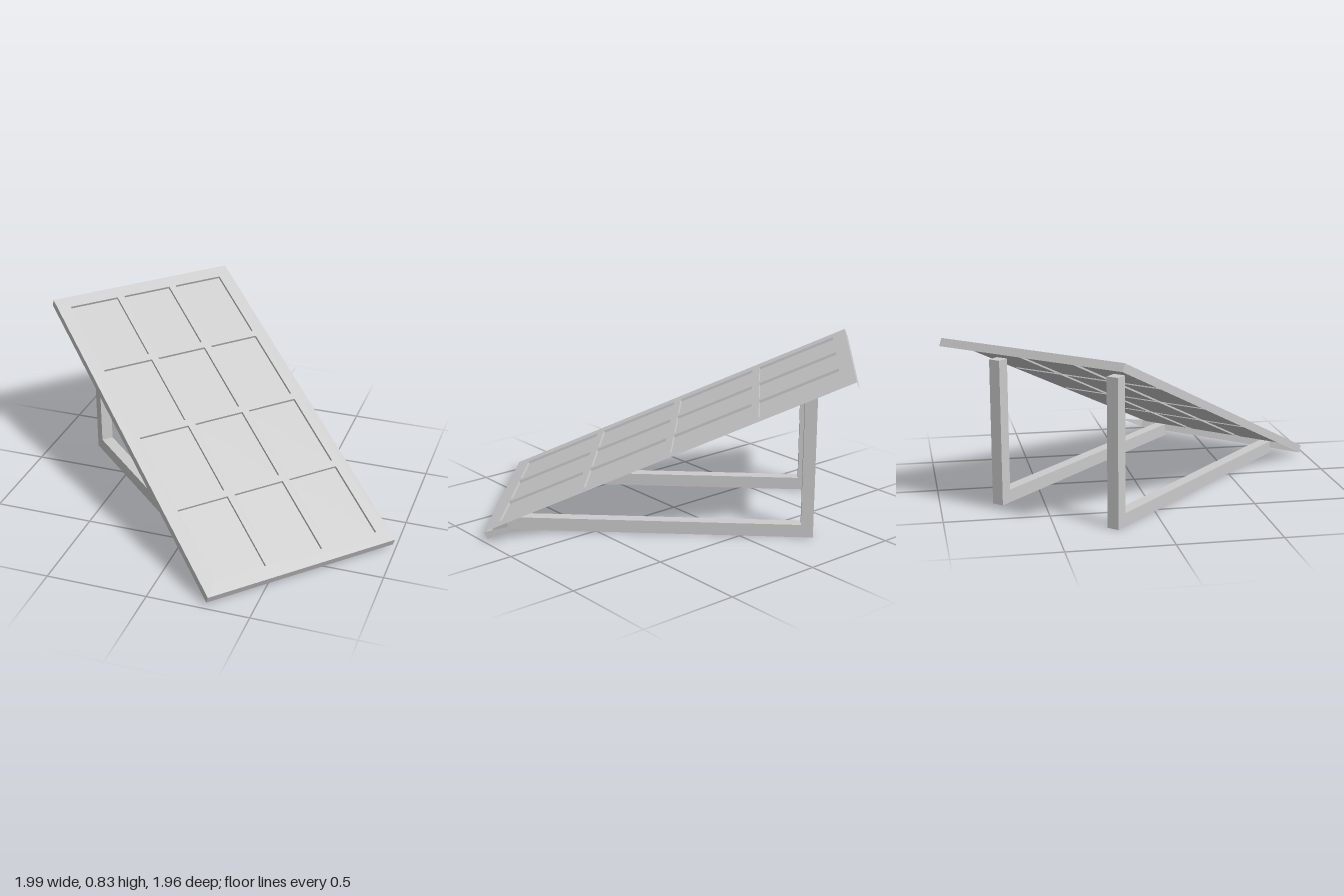
import * as THREE from 'three';

const LENGTH = 1.925, WIDTH = 1.02, LIP = 0.04;   // tilted panel
const BORDER = 0.07, BAR = 0.038, RECESS = 0.013; // frame and cells
const ROWS = 4, COLS = 3;
const SLOPE = Math.atan2(0.783, 1.759);

const shell = new THREE.MeshStandardMaterial({ color: 0xcccccc, side: THREE.DoubleSide });
const solid = new THREE.MeshStandardMaterial({ color: 0xcccccc });

function add(parent, name, geometry, material) {
  const mesh = new THREE.Mesh(geometry, material);
  mesh.name = name;
  parent.add(mesh);
  return mesh;
}

// Flat polygon fanned from its first corner
function polygon(...corners) {
  const points = [];
  for (let i = 1; i < corners.length - 1; i++) points.push(...corners[0], ...corners[i], ...corners[i + 1]);
  const g = new THREE.BufferGeometry();
  g.setAttribute('position', new THREE.Float32BufferAttribute(points, 3));
  g.computeVertexNormals();
  return g;
}

// Wall hanging down from the top surface
const wall = (x0, z0, x1, z1, depth) =>
  polygon([x0, 0, z0], [x0, -depth, z0], [x1, -depth, z1], [x1, 0, z1]);

function rectangle(path, x0, y0, x1, y1) {
  path.moveTo(x0, y0);
  path.lineTo(x1, y0);
  path.lineTo(x1, y1);
  path.lineTo(x0, y1);
  path.closePath();
  return path;
}

function createPanel() {
  const panel = new THREE.Group();
  panel.name = 'panel';
  const L = LENGTH / 2, W = WIDTH / 2;
  const cellL = (LENGTH - 2 * BORDER - (ROWS - 1) * BAR) / ROWS;
  const cellW = (WIDTH - 2 * BORDER - (COLS - 1) * BAR) / COLS;
  const face = rectangle(new THREE.Shape(), -L, -W, L, W);

  // Sunken cells: each is a floor with four short walls
  for (let r = 0; r < ROWS; r++) {
    for (let c = 0; c < COLS; c++) {
      const x0 = -L + BORDER + r * (cellL + BAR), x1 = x0 + cellL;
      const z0 = -W + BORDER + c * (cellW + BAR), z1 = z0 + cellW;
      face.holes.push(rectangle(new THREE.Path(), x0, -z1, x1, -z0));
      const cell = new THREE.Group();
      cell.name = 'cell';
      const floor = new THREE.PlaneGeometry(cellL, cellW).rotateX(-Math.PI / 2);
      floor.translate((x0 + x1) / 2, -RECESS, (z0 + z1) / 2);
      add(cell, 'cellFloor', floor, shell);
      const ring = [[x0, z0], [x1, z0], [x1, z1], [x0, z1]];
      ring.forEach((p, i) => add(cell, 'cellWall', wall(...p, ...ring[(i + 1) % 4], RECESS), shell));
      panel.add(cell);
    }
  }
  add(panel, 'frameFace', new THREE.ShapeGeometry(face).rotateX(-Math.PI / 2), shell);

  // Outer lip, open along one long side except for a corner gusset
  add(panel, 'lowerLip', wall(L, W, L, -W, LIP), shell);
  add(panel, 'upperLip', wall(-L, -W, -L, W, LIP), shell);
  add(panel, 'sideLip', wall(-L, W, L, W, LIP), shell);
  add(panel, 'cornerGusset', polygon([L, 0, -W], [L, -LIP, -W], [L - 0.22, -LIP, -W]), shell);

  panel.rotation.z = -SLOPE;
  panel.position.set(0.008, 0.4415, 0);
  return panel;
}

// L-shaped support: ground rail plus upright at the high end
function createSupport(z) {
  const support = new THREE.Group();
  support.name = 'support';
  const T = 0.06, back = -0.701, front = 0.8, top = 0.715, railH = 0.064;
  const rail = add(support, 'groundRail', new THREE.BoxGeometry(front - back, railH, T), solid);
  rail.position.set((front - back) / 2, railH / 2, 0);
  const post = add(support, 'upright', new THREE.BoxGeometry(T, top - railH, T), solid);
  post.position.set(T / 2, (top + railH) / 2, 0);
  support.position.set(back, 0.002, z);
  support.rotation.z = 0.004;
  return support;
}

export function createModel() {
  const model = new THREE.Group();
  model.name = 'tiltedPanelStand';
  const stand = new THREE.Group();
  stand.name = 'stand';
  stand.add(createPanel());
  for (const side of [-1, 1]) stand.add(createSupport(side * 0.334));
  stand.rotation.y = -0.758;
  model.add(stand);
  return model;
}
